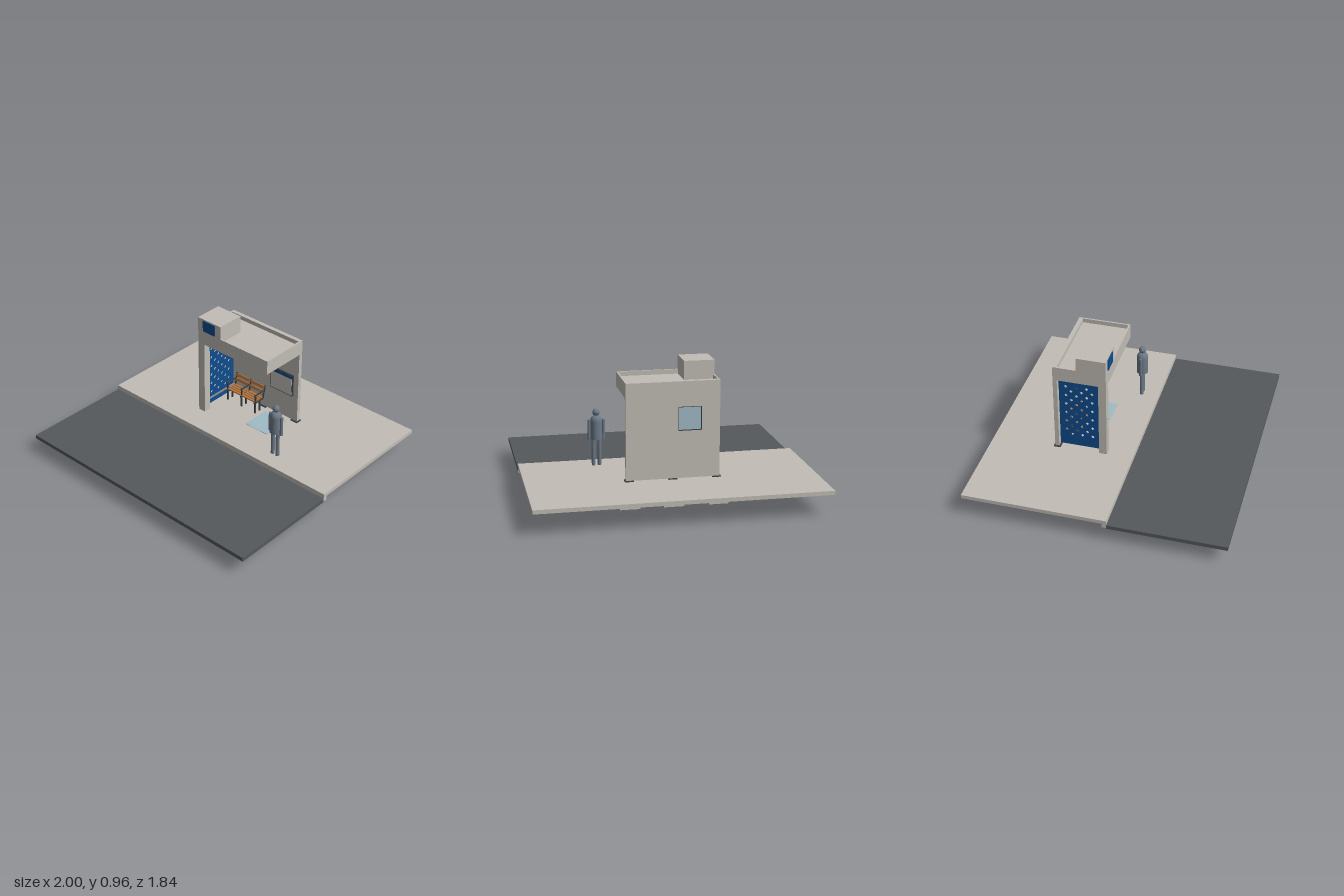
import * as THREE from 'three';

const mat = (name, color) => {
  const m = new THREE.MeshStandardMaterial({ color });
  m.name = name;
  return m;
};

export function createModel() {
  const concrete = mat('concrete', 0xc2beb6);
  const asphalt = mat('asphalt', 0x55595c);
  const blue = mat('blue', 0x0f4c8c);
  const glass = mat('pale glass', 0xa0bcc6);
  const wood = mat('wood', 0xb5753f);
  const iron = mat('dark metal', 0x3e4245);
  const steel = mat('light metal', 0x8d8c88);
  const figure = mat('figure grey', 0x6b7885);
  const paper = mat('board face', 0xc8c5be);

  const model = new THREE.Group();
  const group = (name) => {
    const g = new THREE.Group();
    g.name = name;
    model.add(g);
    return g;
  };
  const add = (parent, name, geo, m) => {
    const mesh = new THREE.Mesh(geo, m);
    mesh.name = name;
    parent.add(mesh);
    return mesh;
  };
  // Box given by its limits on each axis
  const box = (parent, name, m, x0, x1, y0, y1, z0, z1) => {
    const mesh = add(parent, name, new THREE.BoxGeometry(x1 - x0, y1 - y0, z1 - z0), m);
    mesh.position.set((x0 + x1) / 2, (y0 + y1) / 2, (z0 + z1) / 2);
    return mesh;
  };
  const polygon = (pts) => new THREE.Shape(pts.map(([x, y]) => new THREE.Vector2(x, y)));
  const hole = (pts) => new THREE.Path(pts.map(([x, y]) => new THREE.Vector2(x, y)));
  const extrude = (shape, depth) => new THREE.ExtrudeGeometry(shape, { depth, bevelEnabled: false });

  // Ground: road, pavement with kerb, footings
  const ground = group('ground');
  box(ground, 'road', asphalt, -1, 1, 0.115, 0.144, 0.1, 0.92);
  const kerb = polygon([[-0.92, 0.152], [0.068, 0.152], [0.068, 0.12], [0.1, 0.12], [0.1, 0.18], [-0.92, 0.18]]);
  const pavement = add(ground, 'pavement', extrude(kerb, 2), concrete);
  pavement.rotation.y = -Math.PI / 2;
  pavement.position.x = 1;
  for (const [x, z] of [[-0.31, -0.448], [0, -0.448], [0.305, -0.448], [-0.295, -0.11]]) {
    box(ground, 'footing', concrete, x - 0.07, x + 0.07, 0, 0.152, z - 0.069, z + 0.069);
  }

  // Shelter shell
  const shelter = group('shelter');
  const [L, R, F, B] = [-0.325, 0.322, -0.086, -0.465];
  const front = polygon([[L, 0.18], [-0.267, 0.18], [-0.267, 0.755], [R, 0.755],
    [R, 0.86], [-0.112, 0.86], [-0.112, 0.96], [L, 0.96]]);
  add(shelter, 'frontWall', extrude(front, 0.012), concrete).position.z = F - 0.012;
  box(shelter, 'pillar', concrete, L, -0.267, 0.18, 0.755, -0.142, F - 0.012);
  const back = polygon([[L, 0.186], [R, 0.186], [R, 0.86], [L, 0.86]]);
  back.holes.push(hole([[-0.2, 0.518], [-0.2, 0.685], [-0.037, 0.685], [-0.037, 0.518]]));
  add(shelter, 'backWall', extrude(back, 0.03), concrete).position.z = B;
  box(shelter, 'leftFascia', concrete, R - 0.012, R, 0.755, 0.86, B + 0.03, F - 0.012);
  box(shelter, 'rightFascia', concrete, L, L + 0.012, 0.755, 0.86, B + 0.03, F - 0.012);
  box(shelter, 'roofDeck', concrete, L + 0.012, R - 0.012, 0.757, 0.828, B + 0.03, F - 0.012);
  box(shelter, 'tower', concrete, L, -0.112, 0.828, 0.96, -0.296, F - 0.012);
  box(shelter, 'towerSign', blue, -0.275, -0.163, 0.866, 0.95, F, F + 0.006);
  for (const x of [-0.305, 0, 0.3]) {
    box(shelter, 'basePlate', iron, x - 0.03, x + 0.03, 0.18, 0.187, B - 0.008, B + 0.042);
  }

  // Window in the back wall
  const win = group('window');
  box(win, 'windowGlass', glass, -0.2, -0.037, 0.518, 0.685, -0.454, -0.446);
  for (const x of [-0.2, -0.041]) box(win, 'windowPost', iron, x, x + 0.004, 0.518, 0.685, B, B + 0.031);
  for (const y of [0.518, 0.681]) box(win, 'windowRail', iron, -0.2, -0.037, y, y + 0.004, B, B + 0.031);

  // Perforated side screen with two rails
  const screen = group('sideScreen');
  const sheet = polygon([[-0.43, 0.2], [-0.145, 0.2], [-0.145, 0.755], [-0.43, 0.755]]);
  const r = 0.0135;
  for (let row = 0; row < 12; row++) {
    const odd = row % 2;
    for (let i = 0; i < 4 - odd; i++) {
      const z = -0.418 + 0.075 * (i + odd / 2);
      const y = 0.293 + 0.0368 * row;
      sheet.holes.push(hole([[z + r, y], [z, y - r], [z - r, y], [z, y + r]]));
    }
  }
  const perforated = add(screen, 'perforatedSheet', extrude(sheet, 0.006), blue);
  perforated.rotation.y = -Math.PI / 2;
  perforated.position.x = -0.296;
  for (const y of [0.25, 0.72]) box(screen, 'screenRail', steel, -0.296, -0.286, y - 0.005, y + 0.005, -0.435, -0.142);

  // Notice board
  const board = group('noticeBoard');
  box(board, 'boardFrame', iron, 0.068, 0.28, 0.391, 0.566, -0.435, -0.422);
  box(board, 'boardFace', paper, 0.075, 0.273, 0.398, 0.536, -0.422, -0.419);
  box(board, 'boardHeader', blue, 0.075, 0.273, 0.536, 0.558, -0.422, -0.419);

  // Floor marking for the waiting space
  box(model, 'floorMarking', glass, 0.06, 0.26, 0.18, 0.183, -0.39, -0.17);

  // Bench: three iron frames, slats in two bays
  const bench = group('bench');
  for (const x of [-0.252, -0.115, 0.018]) {
    const [a, b] = [x - 0.005, x + 0.005];
    box(bench, 'frontLeg', iron, a, b, 0.18, 0.275, -0.326, -0.316);
    box(bench, 'rearLeg', iron, a, b, 0.18, 0.275, -0.376, -0.364);
    box(bench, 'seatBearer', iron, a, b, 0.262, 0.274, -0.408, -0.31);
    box(bench, 'armPost', iron, a, b, 0.275, 0.335, -0.326, -0.318);
    box(bench, 'armrest', iron, a, b, 0.327, 0.335, -0.41, -0.312);
    const post = box(bench, 'backPost', iron, a, b, 0.268, 0.372, -0.421, -0.413);
    post.rotation.x = -0.22;
  }
  for (const x of [-0.247, -0.11]) {
    const x1 = x + 0.127;
    for (let i = 0; i < 4; i++) {
      const z = -0.332 - i * 0.024;
      box(bench, 'seatSlat', wood, x, x1, 0.274, 0.284, z, z + 0.019);
    }
    [[0.322, -0.41], [0.358, -0.418]].forEach(([y, z]) => {
      box(bench, 'backSlat', wood, x, x1, y - 0.011, y + 0.011, z - 0.004, z + 0.004).rotation.x = -0.22;
    });
  }

  // Standing figure
  const person = group('standingFigure');
  person.position.set(0.457, 0.18, -0.031);
  const torso = [[0, 0.19], [0.042, 0.19], [0.042, 0.19], [0.042, 0.32], [0.039, 0.337], [0.031, 0.351], [0.018, 0.36], [0, 0.363]];
  add(person, 'torso', new THREE.LatheGeometry(torso.map(([x, y]) => new THREE.Vector2(x, y)), 24), figure);
  add(person, 'head', new THREE.SphereGeometry(0.026, 20, 14), figure).position.y = 0.383;
  for (const s of [-1, 1]) {
    add(person, 'arm', new THREE.CylinderGeometry(0.011, 0.011, 0.145, 14), figure).position.set(s * 0.051, 0.258, 0);
    add(person, 'leg', new THREE.CylinderGeometry(0.014, 0.014, 0.19, 14), figure).position.set(s * 0.021, 0.095, 0);
  }

  return model;
}
